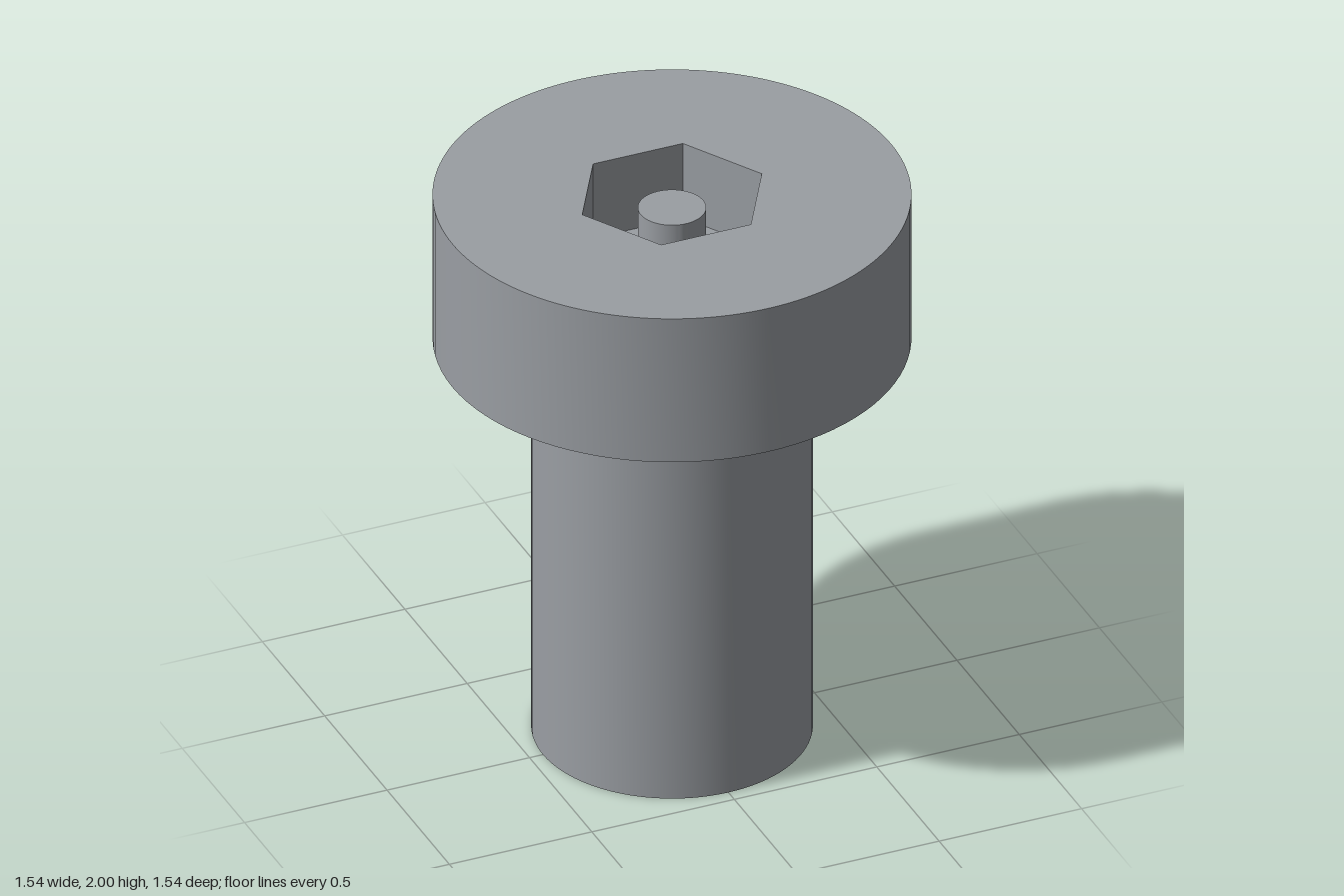
import * as THREE from 'three';
import { toCreasedNormals } from 'three/addons/utils/BufferGeometryUtils.js';

const SEGMENTS = 96;
const SHANK_R = 0.453, HEAD_R = 0.77, HEX_R = 0.315, PIN_R = 0.11;
const HEAD_BOTTOM = 1.46, TOP = 2, SOCKET_FLOOR = 1.72, PIN_TOP = 1.95;

// Turned part with crisp rims; the profile runs so that its outside faces out
function turned(profile) {
  const points = profile.map(([r, y]) => new THREE.Vector2(r, y));
  return toCreasedNormals(new THREE.LatheGeometry(points, SEGMENTS), 0.6);
}

export function createModel() {
  const group = new THREE.Group();
  const steel = new THREE.MeshStandardMaterial({ color: 0x9a9ea3 });
  steel.name = 'steel grey';

  const add = (name, geometry) => {
    const mesh = new THREE.Mesh(geometry, steel);
    mesh.name = name;
    group.add(mesh);
  };

  // Shank with its flat end, then the underside and rim of the head
  add('shank', turned([[0, 0], [SHANK_R, 0], [SHANK_R, HEAD_BOTTOM]]));
  add('head', turned([[SHANK_R, HEAD_BOTTOM], [HEAD_R, HEAD_BOTTOM], [HEAD_R, TOP]]));

  // Head top, pierced by the hexagon
  const face = new THREE.Shape().absarc(0, 0, HEAD_R, 0, Math.PI * 2);
  const corners = Array.from({ length: 6 }, (_, i) => {
    const a = -i * Math.PI / 3;
    return new THREE.Vector2(HEX_R * Math.cos(a), HEX_R * Math.sin(a));
  });
  face.holes.push(new THREE.Path(corners));
  add('headTop', new THREE.ShapeGeometry(face, SEGMENTS).rotateX(-Math.PI / 2).translate(0, TOP, 0));

  // Socket walls: six flat faces, mirrored so that they face inwards
  const depth = TOP - SOCKET_FLOOR;
  const walls = new THREE.CylinderGeometry(HEX_R, HEX_R, depth, 6, 1, true)
    .rotateY(Math.PI / 6).toNonIndexed();
  const p = walls.attributes.position;
  for (let i = 0; i < p.count; i += 3) {
    const b = new THREE.Vector3().fromBufferAttribute(p, i + 1);
    const c = new THREE.Vector3().fromBufferAttribute(p, i + 2);
    p.setXYZ(i + 1, c.x, c.y, c.z);
    p.setXYZ(i + 2, b.x, b.y, b.z);
  }
  walls.computeVertexNormals();
  add('socketWalls', walls.translate(0, TOP - depth / 2, 0));
  add('socketFloor', new THREE.CircleGeometry(HEX_R, 6).rotateX(-Math.PI / 2).translate(0, SOCKET_FLOOR, 0));

  // Security pin in the middle of the socket
  add('securityPin', turned([[PIN_R, SOCKET_FLOOR], [PIN_R, PIN_TOP], [0, PIN_TOP]]));

  return group;
}
